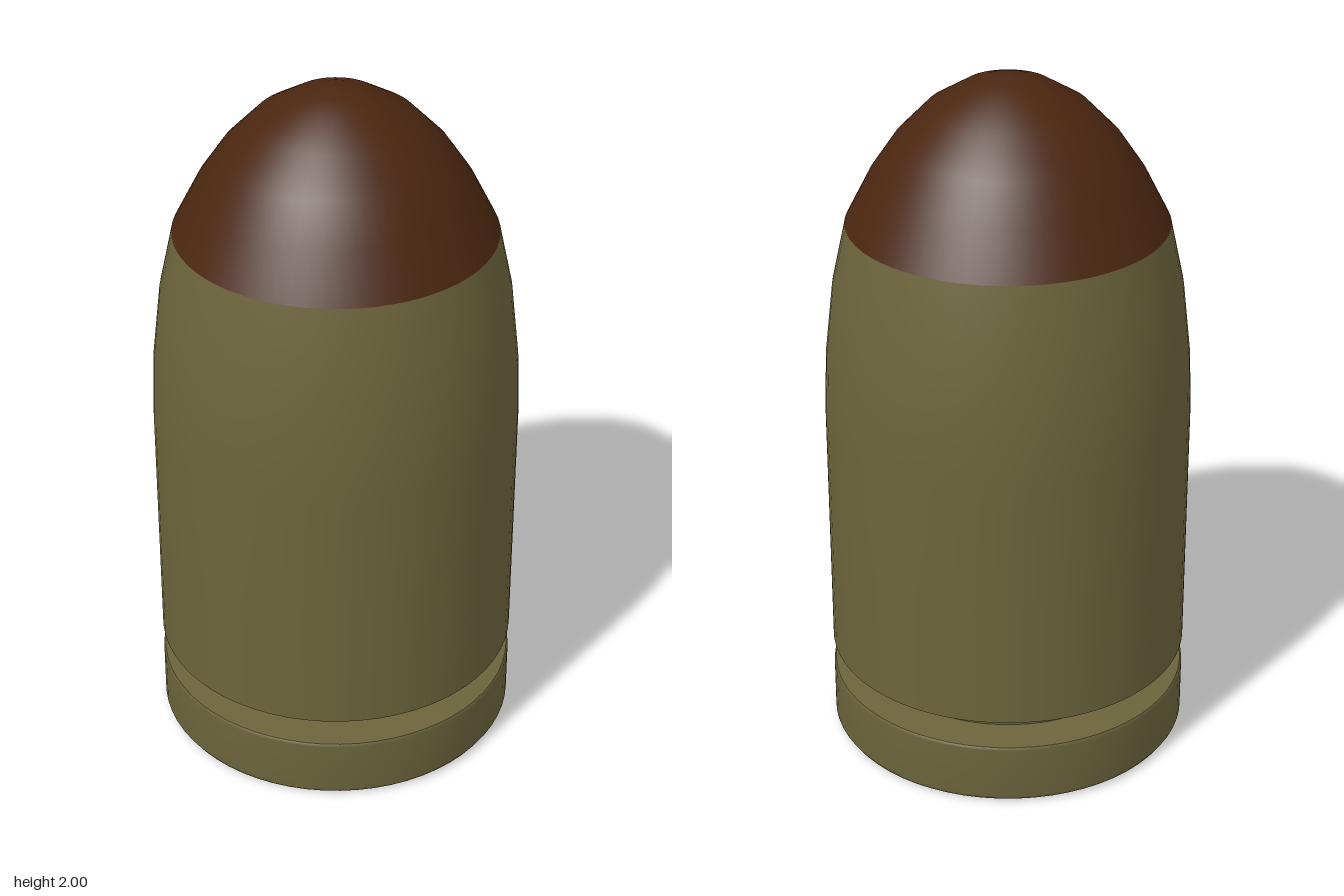
import * as THREE from 'three';

const SIDES = 64;

// Revolve a bottom-to-top [radius, height] profile around the y axis
function turned(name, profile, material) {
  const points = profile.map(([r, y]) => new THREE.Vector2(r, y));
  const mesh = new THREE.Mesh(new THREE.LatheGeometry(points, SIDES), material);
  mesh.name = name;
  return mesh;
}

export function createModel() {
  const model = new THREE.Group();
  model.name = 'cartridge';
  const brass = new THREE.MeshStandardMaterial({ color: 0x6b643c });
  const copper = new THREE.MeshStandardMaterial({ color: 0x4a2610 });

  // Each run of the profile is its own lathe, so edges between runs stay sharp
  const casing = new THREE.Group();
  casing.name = 'casing';
  casing.add(
    // flat underside with a softly rounded edge, then the rim wall
    turned('base', [[0, 0], [0.49, 0]], brass),
    turned('rim', [[0.49, 0], [0.51, 0.005], [0.52, 0.02], [0.52, 0.175], [0.515, 0.183]], brass),
    turned('rimTop', [[0.515, 0.183], [0.405, 0.187]], brass),
    // extractor groove, flaring out under the body
    turned('groove', [[0.405, 0.187], [0.405, 0.205], [0.415, 0.222], [0.44, 0.242], [0.48, 0.257], [0.52, 0.27]], brass),
    // straight wall that curves inward towards the tip
    turned('body', [[0.52, 0.27], [0.52, 0.64], [0.52, 1.015], [0.513, 1.19], [0.489, 1.4], [0.45, 1.578]], brass)
  );

  // Rounded nose
  const tip = turned('tip', [
    [0.45, 1.578], [0.38, 1.715], [0.312, 1.815], [0.222, 1.908], [0.12, 1.97], [0.065, 1.988], [0, 2]
  ], copper);

  model.add(casing, tip);
  return model;
}
